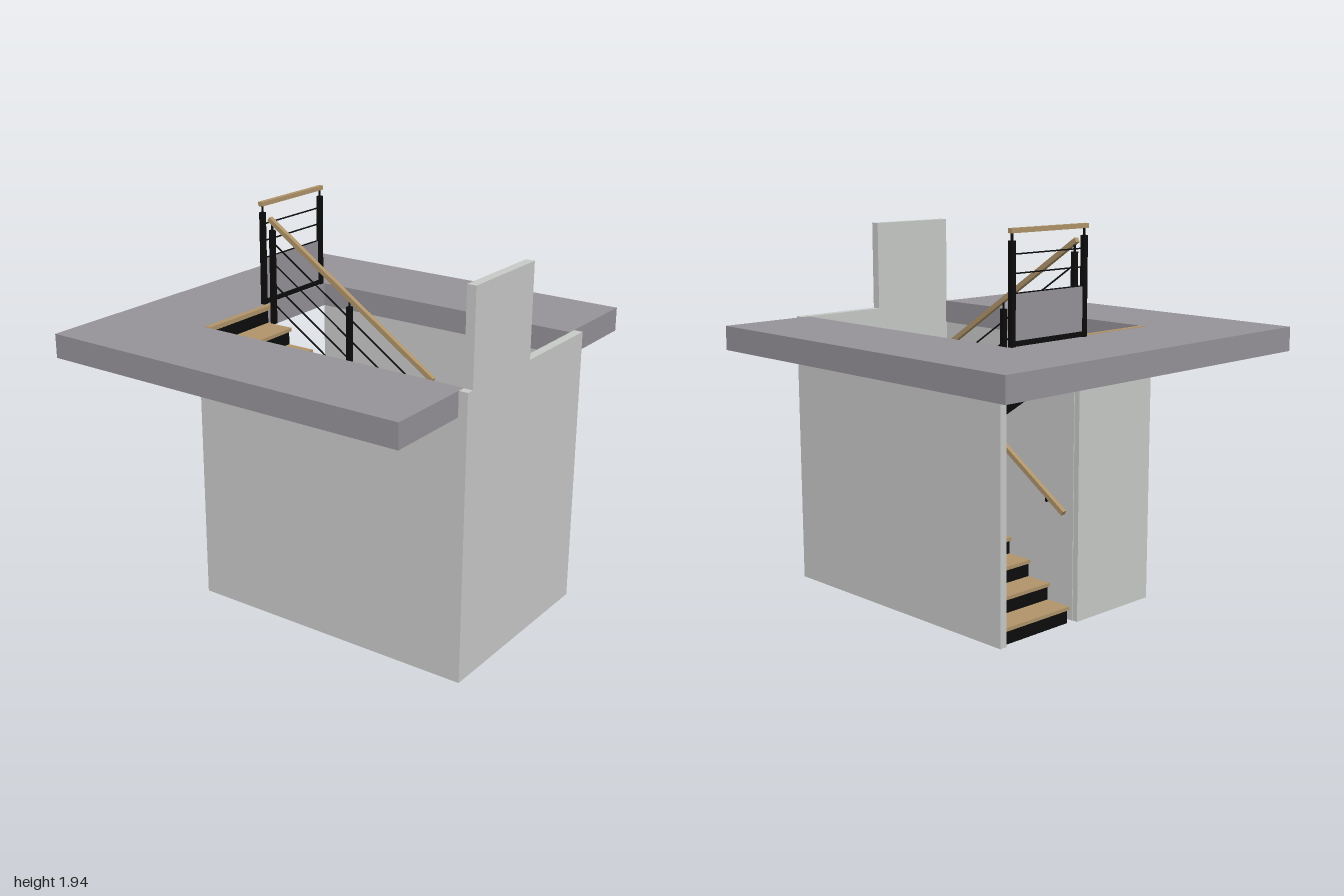
import * as THREE from 'three';

const mat = (name, color) => {
  const m = new THREE.MeshStandardMaterial({ color });
  m.name = name;
  return m;
};

export function createModel() {
  const wall = mat('wall grey', 0xc8cac8);
  const concrete = mat('slab grey', 0x969399);
  const wood = mat('wood', 0xb0946a);
  const black = mat('black steel', 0x0c0c0c);

  const model = new THREE.Group();
  model.name = 'stairwell';

  const add = (parent, name, geo, m) => {
    const mesh = new THREE.Mesh(geo, m);
    mesh.name = name;
    parent.add(mesh);
    return mesh;
  };
  // box from its minimum and maximum on each axis
  const box = (parent, name, m, x0, x1, y0, y1, z0, z1) =>
    add(parent, name, new THREE.BoxGeometry(x1 - x0, y1 - y0, z1 - z0), m)
      .position.set((x0 + x1) / 2, (y0 + y1) / 2, (z0 + z1) / 2);
  // square bar between two points in an x-y plane
  const bar = (parent, name, m, a, b, z, h, w) => {
    const len = Math.hypot(b[0] - a[0], b[1] - a[1]);
    const mesh = add(parent, name, new THREE.BoxGeometry(len, h, w), m);
    mesh.position.set((a[0] + b[0]) / 2, (a[1] + b[1]) / 2, z);
    mesh.rotation.z = Math.atan2(b[1] - a[1], b[0] - a[0]);
  };
  // flat outline extruded along z
  const plate = (parent, name, m, pts, z0, z1) => {
    const shape = new THREE.Shape(pts.map(p => new THREE.Vector2(p[0], p[1])));
    const geo = new THREE.ExtrudeGeometry(shape, { depth: z1 - z0, bevelEnabled: false });
    return add(parent, name, geo.translate(0, 0, z0), m);
  };

  // floor slab, open around the stairwell
  const slab = plate(model, 'floorSlab', concrete, [
    [-1, -0.97], [0.955, -0.97], [0.955, -0.475], [-0.5, -0.475],
    [-0.5, 0.48], [0.955, 0.48], [0.955, 0.98], [-1, 0.98],
  ], 0, 0.12);
  slab.rotation.x = -Math.PI / 2;
  slab.position.y = 1.3;

  // enclosing walls
  const walls = new THREE.Group();
  walls.name = 'walls';
  model.add(walls);
  box(walls, 'frontWall', wall, -0.5, 0.955, 0.02, 1.3, 0.48, 0.52);
  box(walls, 'backWall', wall, -0.5, 0.955, 0.02, 1.3, -0.52, -0.48);
  box(walls, 'entranceSideWall', wall, -0.5, -0.47, 0.02, 1.3, 0, 0.48);
  const end = plate(walls, 'steppedEndWall', wall, [
    [-0.52, 0.02], [0.52, 0.02], [0.52, 1.42], [0.01, 1.42],
    [0.01, 1.875], [-0.48, 1.875], [-0.48, 1.42], [-0.52, 1.42],
  ], 0, 0.045);
  end.rotation.y = Math.PI / 2;
  end.position.x = 0.955;
  plate(walls, 'partition', wall, [
    [-0.47, 0.02], [0.52, 0.02], [0.52, 0.62], [-0.47, 1.28],
  ], -0.004, 0.018);

  // one flight: sawtooth stringers, risers and treads; dir is the climbing direction in x
  const H = 1.42 / 16, RUN = 0.1335, T = 0.018;
  const flight = (name, x0, y0, dir, z0, z1) => {
    const g = new THREE.Group();
    g.name = name;
    g.position.set(x0, y0, 0);
    model.add(g);
    const spanBox = (n, m, a, b, ya, yb) =>
      box(g, n, m, Math.min(a * dir, b * dir), Math.max(a * dir, b * dir), ya, yb, z0, z1);
    const pts = [[0.145, 0], [0.015, 0]];
    for (let i = 0; i < 8; i++) {
      const x = i * RUN + 0.015;
      const top = (i + 1) * H - T;
      pts.push([x, top], [i < 7 ? x + RUN : x + 0.02, top]);
      spanBox('riser', black, x, x + 0.012, i * H - (i ? T : 0), top);
      if (i < 7) spanBox('tread', wood, x - 0.015, x + RUN + 0.012, top, top + T);
    }
    pts.push([7 * RUN + 0.035, (7 * RUN + 0.035 - 0.145) * H / RUN]);
    const outline = pts.map(p => [p[0] * dir, p[1]]);
    plate(g, 'stringer', black, outline, z0 + 0.001, z0 + 0.02);
    plate(g, 'stringer', black, outline, z1 - 0.02, z1 - 0.001);
  };
  flight('lowerFlight', -0.455, 0, 1, -0.478, -0.006);
  flight('upperFlight', 0.47, 0.71, -1, 0.02, 0.474);

  // landing and top nosing
  box(model, 'landing', wood, 0.47, 0.955, 0.69, 0.71, -0.48, 0.48);
  box(model, 'landingFrame', black, 0.5, 0.95, 0.6, 0.69, -0.478, 0.478);
  box(model, 'topNosing', wood, -0.5, -0.468, 1.4, 1.422, 0, 0.475);

  // upper flight railing
  const S = 0.66;
  const rail = new THREE.Group();
  rail.name = 'upperRailing';
  model.add(rail);
  bar(rail, 'handrail', wood, [-0.465, 1.865], [0.505, 1.865 - 0.97 * S], 0.01, 0.024, 0.024);
  for (const [x, bottom] of [[-0.45, 1.33], [0.02, 1.05], [0.49, 0.7]]) {
    const top = 1.81 - (x + 0.45) * S;
    box(rail, 'post', black, x - 0.012, x + 0.012, bottom, top, -0.002, 0.022);
    box(rail, 'railPin', black, x - 0.004, x + 0.004, top, top + 0.04, 0.006, 0.014);
  }
  for (const y of [1.75, 1.645, 1.54, 1.435])
    bar(rail, 'wire', black, [-0.45, y], [0.49, y - 0.94 * S], 0.01, 0.006, 0.006);

  // lower flight handrail on wall brackets
  const low = new THREE.Group();
  low.name = 'lowerHandrail';
  model.add(low);
  bar(low, 'handrail', wood, [-0.435, 0.56], [0.505, 0.56 + 0.94 * S], -0.032, 0.024, 0.024);
  for (const x of [-0.32, 0, 0.49]) {
    const y = 0.56 + (x + 0.435) * S;
    box(low, 'bracket', black, x - 0.005, x + 0.005, y - 0.04, y - 0.01, -0.036, 0.004);
  }

  // guard railing at the head of the stairwell
  const guard = new THREE.Group();
  guard.name = 'guardRailing';
  model.add(guard);
  box(guard, 'handrail', wood, -0.526, -0.502, 1.922, 1.944, -0.475, 0.022);
  for (const z of [0.005, -0.462]) {
    box(guard, 'post', black, -0.526, -0.502, 1.42, 1.89, z - 0.012, z + 0.012);
    box(guard, 'railPin', black, -0.518, -0.51, 1.89, 1.922, z - 0.004, z + 0.004);
  }
  box(guard, 'bottomBar', black, -0.524, -0.504, 1.422, 1.446, -0.46, 0);
  box(guard, 'panel', concrete, -0.518, -0.51, 1.446, 1.655, -0.44, 0);
  for (const y of [1.657, 1.745, 1.83])
    box(guard, 'wire', black, -0.517, -0.511, y - 0.003, y + 0.003, -0.46, 0);

  return model;
}
